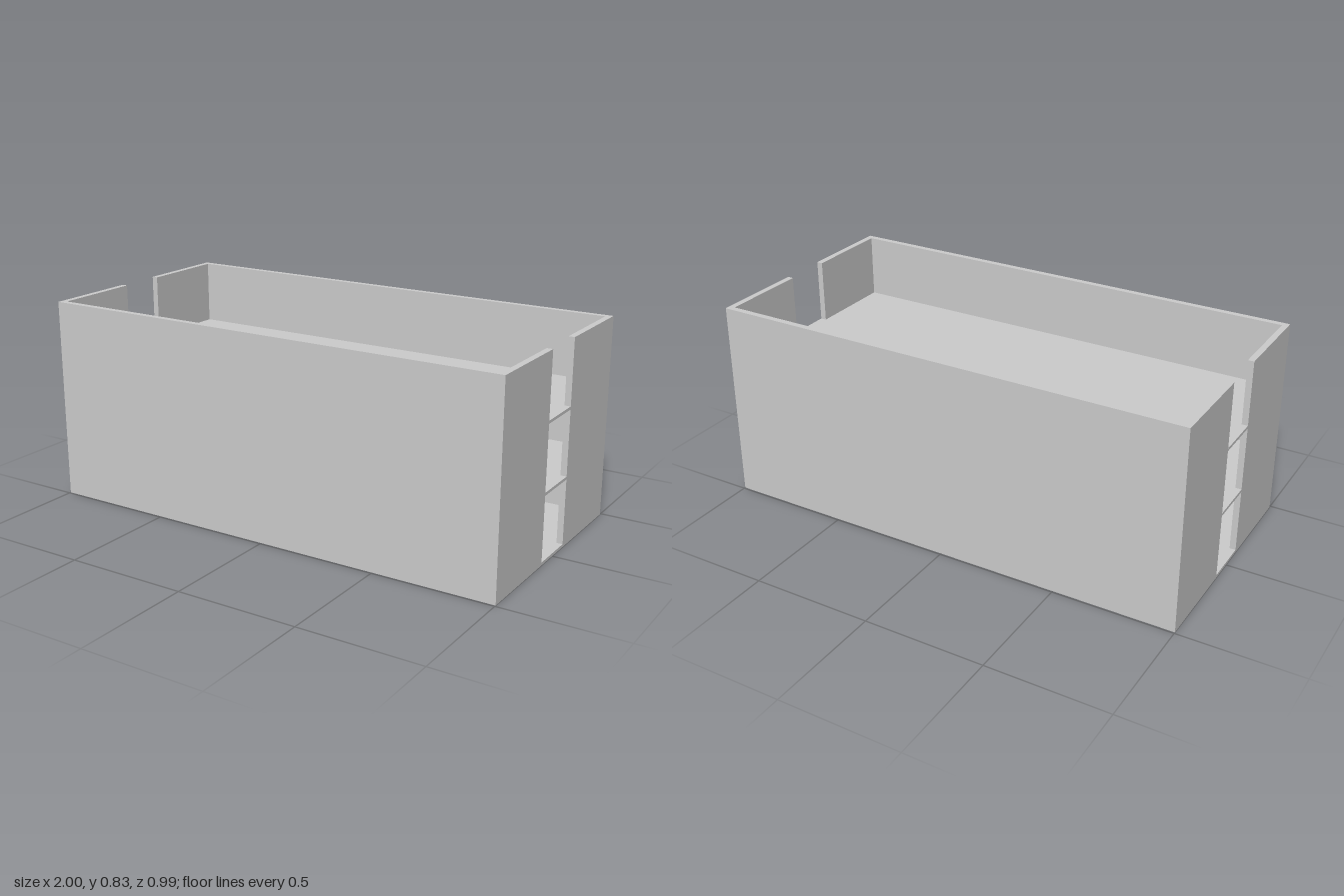
import * as THREE from 'three';

const X = 1, Z = 0.493, T = 0.025, H = 0.834; // half length, half depth, wall thickness, height
const SLOT = 0.1;                             // half width of the end openings
const SLAB = 0.012;                           // floor thickness

const toPoints = (list) => list.map(([x, z]) => new THREE.Vector2(x, z));
const rectangle = (x, z) => toPoints([[-x, -z], [x, -z], [x, z], [-x, z]]);

export function createModel() {
  const group = new THREE.Group();
  const material = new THREE.MeshStandardMaterial({ color: 0xcccccc });

  // Raises a plan outline (x, z) from height y, with an optional hole
  function addPlan(name, outline, y, height, hole) {
    const shape = new THREE.Shape(outline);
    if (hole) shape.holes.push(new THREE.Path(hole));
    const geometry = new THREE.ExtrudeGeometry(shape, { depth: height, bevelEnabled: false });
    geometry.rotateX(-Math.PI / 2).translate(0, y, 0);
    const mesh = new THREE.Mesh(geometry, material);
    mesh.name = name;
    group.add(mesh);
  }

  // Two C-shaped wall shells, leaving a full-height opening at each end
  for (const [name, s] of [['frontWall', -1], ['backWall', 1]]) {
    addPlan(name, toPoints([
      [-X, s * SLOT], [-X, s * Z], [X, s * Z], [X, s * SLOT],
      [X - T, s * SLOT], [X - T, s * (Z - T)], [-X + T, s * (Z - T)], [-X + T, s * SLOT],
    ]), 0, H);
  }

  // Floors fit between the walls and run out through the openings
  const a = X - T, b = Z - T;
  const floor = toPoints([
    [-a, -b], [a, -b], [a, -SLOT], [X, -SLOT], [X, SLOT], [a, SLOT],
    [a, b], [-a, b], [-a, SLOT], [-X, SLOT], [-X, -SLOT], [-a, -SLOT],
  ]);
  const well = rectangle(0.775, 0.267);
  addPlan('groundFloor', floor, 0, SLAB);
  addPlan('middleFloor', floor, 0.278, SLAB, well);
  addPlan('upperFloor', floor, 0.556, SLAB);

  // Low parapet around the opening in the middle floor
  addPlan('parapet', rectangle(0.8, 0.292), 0.278 + SLAB, 0.063, well);

  return group;
}
